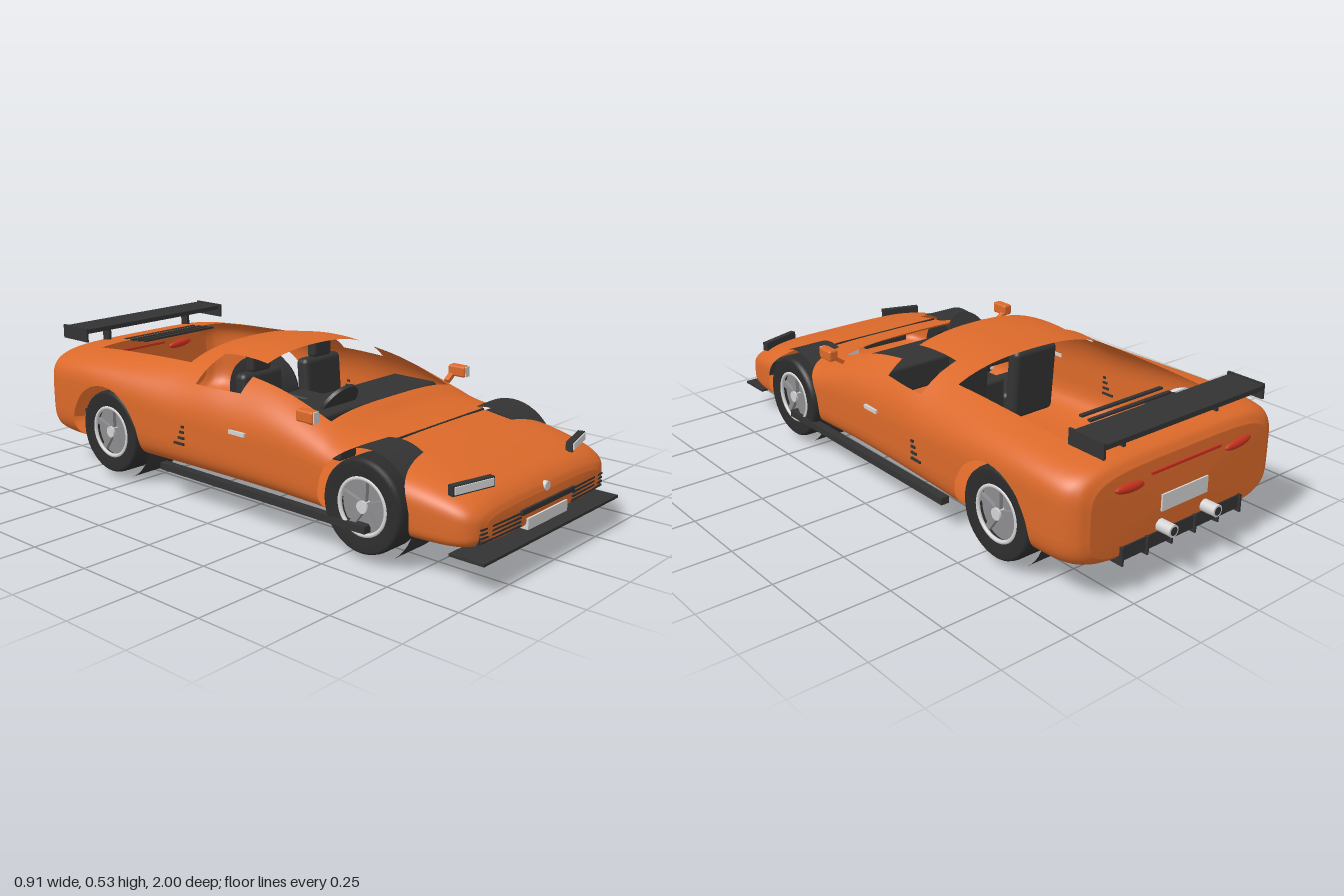
import * as THREE from 'three';
import { RoundedBoxGeometry } from 'three/addons/geometries/RoundedBoxGeometry.js';

const paint = (name, color, side = THREE.FrontSide) => {
  const m = new THREE.MeshStandardMaterial({ color, side });
  m.name = name;
  return m;
};

// Body stations, nose to tail: z, top y, half width, floor y, widest y, roundness of the upper half
const STATIONS = [
  [0.962, 0.215, 0.31, 0.138, 0.18, 4],
  [0.95, 0.24, 0.355, 0.125, 0.18, 4],
  [0.92, 0.266, 0.385, 0.112, 0.18, 4],
  [0.86, 0.29, 0.402, 0.104, 0.185, 4],
  [0.75, 0.319, 0.416, 0.1, 0.2, 3.7],
  [0.6, 0.342, 0.42, 0.1, 0.22, 3.5],
  [0.45, 0.365, 0.418, 0.1, 0.23, 3.5],
  [0.37, 0.402, 0.416, 0.1, 0.24, 3.2],
  [0.2, 0.475, 0.416, 0.1, 0.26, 2.8],
  [0.04, 0.526, 0.42, 0.1, 0.27, 2.4],
  [-0.1, 0.534, 0.427, 0.1, 0.28, 2.4],
  [-0.27, 0.515, 0.436, 0.1, 0.29, 2.4],
  [-0.5, 0.483, 0.45, 0.1, 0.3, 3],
  [-0.72, 0.458, 0.455, 0.1, 0.3, 4],
  [-0.86, 0.446, 0.448, 0.104, 0.29, 4.2],
  [-0.92, 0.432, 0.42, 0.115, 0.28, 4.5],
  [-0.945, 0.402, 0.38, 0.135, 0.27, 4.5],
];
const WHEEL_Z = [0.583, -0.588], WHEEL_Y = 0.176, ARCH_R = 0.176;

// Each opening is the region where all of its functions are negative
const OPENINGS = [
  [p => Math.abs(p[0]) - 0.31, p => Math.abs(p[2] - 0.2) - 0.17, p => 0.3 - p[1]],            // windscreen
  [p => Math.abs(p[0]) - 0.31, p => Math.abs(p[2] + 0.515) - 0.245, p => 0.3 - p[1]],         // engine bay
  [p => 0.24 - Math.abs(p[0]), p => Math.abs(p[2] + 0.07) - 0.1, p => Math.abs(p[1] - 0.47) - 0.05], // side windows
  ...WHEEL_Z.map(z => [p => 0.24 - Math.abs(p[0]), p => Math.hypot(p[1] - WHEEL_Y, p[2] - z) - ARCH_R]),
];

// Part of a polygon where f is positive
function clip(poly, f) {
  const out = [];
  poly.forEach((a, i) => {
    const b = poly[(i + 1) % poly.length], fa = f(a), fb = f(b);
    if (fa >= 0) out.push(a);
    if (fa * fb < 0) out.push(a.map((v, k) => v + (b[k] - v) * fa / (fa - fb)));
  });
  return out;
}

function cutOpening(polys, fns) {
  return polys.flatMap(poly => {
    if (fns.some(f => poly.every(p => f(p) >= 0))) return [poly];
    const kept = [];
    let rest = poly;
    for (const f of fns) {
      kept.push(clip(rest, f));
      rest = clip(rest, p => -f(p));
    }
    return kept.filter(p => p.length > 2);
  });
}

// Lofted shell with its openings cut out
function bodyGeometry() {
  const curve = (a, b, c) => new THREE.CatmullRomCurve3(
    STATIONS.map(s => new THREE.Vector3(s[a], s[b], s[c])), false, 'catmullrom', 0.5);
  const outer = curve(0, 1, 2), inner = curve(3, 4, 5);
  const rows = 128, cols = 96, pos = [], index = [];
  for (let i = -1; i <= rows + 1; i++) {
    const t = Math.min(1, Math.max(0, i / rows)), cap = i < 0 || i > rows;
    const a = outer.getPoint(t), b = inner.getPoint(t);
    const z = a.x + (i < 0 ? 0.003 : i > rows ? -0.003 : 0);
    for (let j = 0; j <= cols; j++) {
      const u = j / cols * Math.PI * 2, s = Math.sin(u), c = -Math.cos(u);
      const e = 2 / (c > 0 ? b.z : 5), k = cap ? 0 : 1;
      const h = Math.pow(Math.abs(c), e) * (c > 0 ? a.y - b.y : b.x - b.y);
      pos.push(k * a.z * Math.sign(s) * Math.pow(Math.abs(s), e), b.y + k * h, z);
    }
  }
  const w = cols + 1;
  for (let i = 0; i < rows + 2; i++) for (let j = 0; j < cols; j++) {
    const p = i * w + j;
    index.push(p, p + 1, p + w, p + 1, p + w + 1, p + w);
  }
  const grid = new THREE.BufferGeometry();
  grid.setAttribute('position', new THREE.Float32BufferAttribute(pos, 3));
  grid.setIndex(index);
  grid.computeVertexNormals();
  const P = grid.attributes.position, N = grid.attributes.normal;
  const vert = i => [P.getX(i), P.getY(i), P.getZ(i), N.getX(i), N.getY(i), N.getZ(i)];
  let polys = [];
  for (let i = 0; i < index.length; i += 3) polys.push([0, 1, 2].map(k => vert(index[i + k])));
  for (const fns of OPENINGS) polys = cutOpening(polys, fns);
  const position = [], normal = [];
  for (const poly of polys) for (let k = 2; k < poly.length; k++)
    for (const v of [poly[0], poly[k - 1], poly[k]]) {
      position.push(...v.slice(0, 3));
      normal.push(...v.slice(3));
    }
  const geo = new THREE.BufferGeometry();
  geo.setAttribute('position', new THREE.Float32BufferAttribute(position, 3));
  geo.setAttribute('normal', new THREE.Float32BufferAttribute(normal, 3));
  return geo;
}

export function createModel() {
  const car = new THREE.Group();
  car.name = 'sportsCar';
  const orange = paint('orangePaint', 0xdb692a, THREE.DoubleSide);
  const black = paint('blackTrim', 0x333333);
  const rubber = paint('rubber', 0x2c2c2c, THREE.DoubleSide);
  const silver = paint('silver', 0xd2d2d2);
  const alloy = paint('alloyGrey', 0x8c8c90);
  const red = paint('redLens', 0xc8321e);

  const add = (name, geo, mat, p = [0, 0, 0], r = [0, 0, 0], parent = car) => {
    const m = new THREE.Mesh(geo, mat);
    m.name = name;
    m.position.set(...p);
    m.rotation.set(...r);
    parent.add(m);
    return m;
  };
  const box = (x, y, z) => new THREE.BoxGeometry(x, y, z);
  const soft = (x, y, z, r) => new RoundedBoxGeometry(x, y, z, 3, r);
  const across = (r, len, n = 32, open = false) =>
    new THREE.CylinderGeometry(r, r, len, n, 1, open).rotateZ(Math.PI / 2);

  add('body', bodyGeometry(), orange);

  // Wheels and arch liners
  const tyre = new THREE.LatheGeometry([[0.092, -0.06], [0.138, -0.06], [0.147, -0.053], [0.15, -0.04],
    [0.15, 0.04], [0.147, 0.053], [0.138, 0.06], [0.092, 0.052]].map(p => new THREE.Vector2(...p)), 48).rotateZ(-Math.PI / 2);
  const rimRing = new THREE.TorusGeometry(0.089, 0.007, 10, 48).rotateY(Math.PI / 2);
  for (const s of [-1, 1]) for (const z of WHEEL_Z) {
    add('archLiner', across(ARCH_R, 0.15, 48, true), black, [s * 0.313, WHEEL_Y, z]);
    const wheel = new THREE.Group();
    wheel.name = 'wheel';
    wheel.position.set(s * (z > 0 ? 0.362 : 0.37), 0.178, z);
    wheel.rotation.y = s > 0 ? 0 : Math.PI;
    car.add(wheel);
    add('tyre', tyre, rubber, [0, 0, 0], [0, 0, 0], wheel);
    add('brakeDisc', across(0.092, 0.06), alloy, [0, 0, 0], [0, 0, 0], wheel);
    add('rimRing', rimRing, silver, [0.049, 0, 0], [0, 0, 0], wheel);
    add('hub', across(0.02, 0.026, 20), silver, [0.042, 0, 0], [0, 0, 0], wheel);
    for (let k = 0; k < 5; k++) {
      const a = k * Math.PI * 0.4;
      add('spoke', box(0.014, 0.085, 0.02), alloy, [0.04, Math.cos(a) * 0.045, Math.sin(a) * 0.045], [a, 0, 0], wheel);
    }
  }

  // Nose
  add('frontSplitter', box(0.77, 0.009, 0.12), black, [0, 0.1, 0.94]);
  add('grilleBar', box(0.3, 0.016, 0.03), black, [0, 0.182, 0.957]);
  add('frontPlate', box(0.224, 0.036, 0.03), silver, [0, 0.137, 0.955]);
  add('badge', new THREE.CylinderGeometry(0.015, 0.015, 0.02, 24).rotateX(Math.PI / 2), silver, [0, 0.227, 0.953]);
  add('hoodSeam', box(0.46, 0.005, 0.006), black, [0, 0.346, 0.57]);

  // Cabin
  add('dashboard', soft(0.61, 0.1, 0.19, 0.012), black, [0, 0.335, 0.23]);
  add('console', soft(0.09, 0.2, 0.26, 0.01), black, [0, 0.24, 0.05]);
  add('steeringWheel', new THREE.CylinderGeometry(0.08, 0.08, 0.012, 32), black, [-0.16, 0.388, 0.268], [-0.98, 0, 0]);

  // Tail
  add('tailBar', box(0.3, 0.009, 0.012), red, [0, 0.365, -0.946]);
  add('rearPlate', box(0.2, 0.055, 0.01), silver, [0, 0.255, -0.948]);
  add('diffuser', box(0.52, 0.045, 0.05), black, [0, 0.142, -0.925]);
  for (let k = 0; k < 6; k++) add('diffuserFin', box(0.007, 0.06, 0.06), black, [-0.26 + k * 0.104, 0.137, -0.928]);
  for (let k = 0; k < 4; k++) add('louver', box(0.35, 0.007, 0.014), black, [0, 0.46 - k * 0.003, -0.68 - k * 0.036]);
  add('wingBlade', box(0.68, 0.016, 0.13), black, [0, 0.5, -0.88]);

  for (const s of [-1, 1]) {
    // Front grilles with ribs
    add('sideGrille', box(0.2, 0.05, 0.03), black, [s * 0.245, 0.16, 0.943], [0, s * 0.04, 0]);
    for (let k = 0; k < 4; k++)
      add('grilleRib', box(0.196, 0.006, 0.008), black, [s * 0.245, 0.142 + k * 0.013, 0.96], [0, s * 0.04, 0]);
    // Headlights
    add('headlightHousing', box(0.155, 0.032, 0.022), black, [s * 0.29, 0.285, 0.885], [0, s * 0.27, s * -0.02]);
    add('headlightLens', box(0.143, 0.023, 0.008), silver, [s * 0.293, 0.286, 0.896], [0, s * 0.27, s * -0.02]);
    // Mirrors
    add('mirrorShell', soft(0.036, 0.04, 0.07, 0.008), orange, [s * 0.398, 0.412, 0.35]);
    add('mirrorLamp', box(0.022, 0.036, 0.008), silver, [s * 0.399, 0.412, 0.384]);
    add('mirrorStalk', box(0.04, 0.014, 0.02), orange, [s * 0.372, 0.388, 0.33], [0, 0, s * 0.6]);
    // Sills, handles and vents
    add('sillSkirt', box(0.03, 0.024, 0.92), black, [s * 0.407, 0.109, 0.14]);
    add('doorHandle', box(0.012, 0.013, 0.07), silver, [s * 0.42, 0.303, 0.063]);
    [[0.278, 0.012], [0.259, 0.02], [0.238, 0.028], [0.217, 0.05]].forEach(([y, len]) =>
      add('sideVent', box(0.01, 0.008, len), black, [s * 0.432, y, -0.18 - len / 2]));
    // Seats
    add('seatCushion', soft(0.19, 0.1, 0.18, 0.02), black, [s * 0.155, 0.22, 0.02]);
    add('seatBack', soft(0.19, 0.26, 0.055, 0.02), black, [s * 0.155, 0.312, -0.09], [-0.08, 0, 0]);
    add('headrest', soft(0.095, 0.068, 0.04, 0.014), black, [s * 0.157, 0.472, -0.097]);
    // Wing supports, tail lamps and exhausts
    add('wingEndplate', box(0.008, 0.05, 0.14), black, [s * 0.34, 0.488, -0.875]);
    add('wingStrut', box(0.012, 0.07, 0.035), black, [s * 0.2, 0.465, -0.868]);
    add('tailLamp', new THREE.SphereGeometry(1, 24, 12).scale(0.06, 0.016, 0.014), red, [s * 0.235, 0.348, -0.945], [0, 0, s * 0.08]);
    add('exhaust', new THREE.CylinderGeometry(0.02, 0.02, 0.08, 24).rotateX(Math.PI / 2), silver, [s * 0.097, 0.182, -0.96]);
    add('exhaustBore', new THREE.CircleGeometry(0.014, 20).rotateY(Math.PI), black, [s * 0.097, 0.182, -1.001]);
  }
  return car;
}
